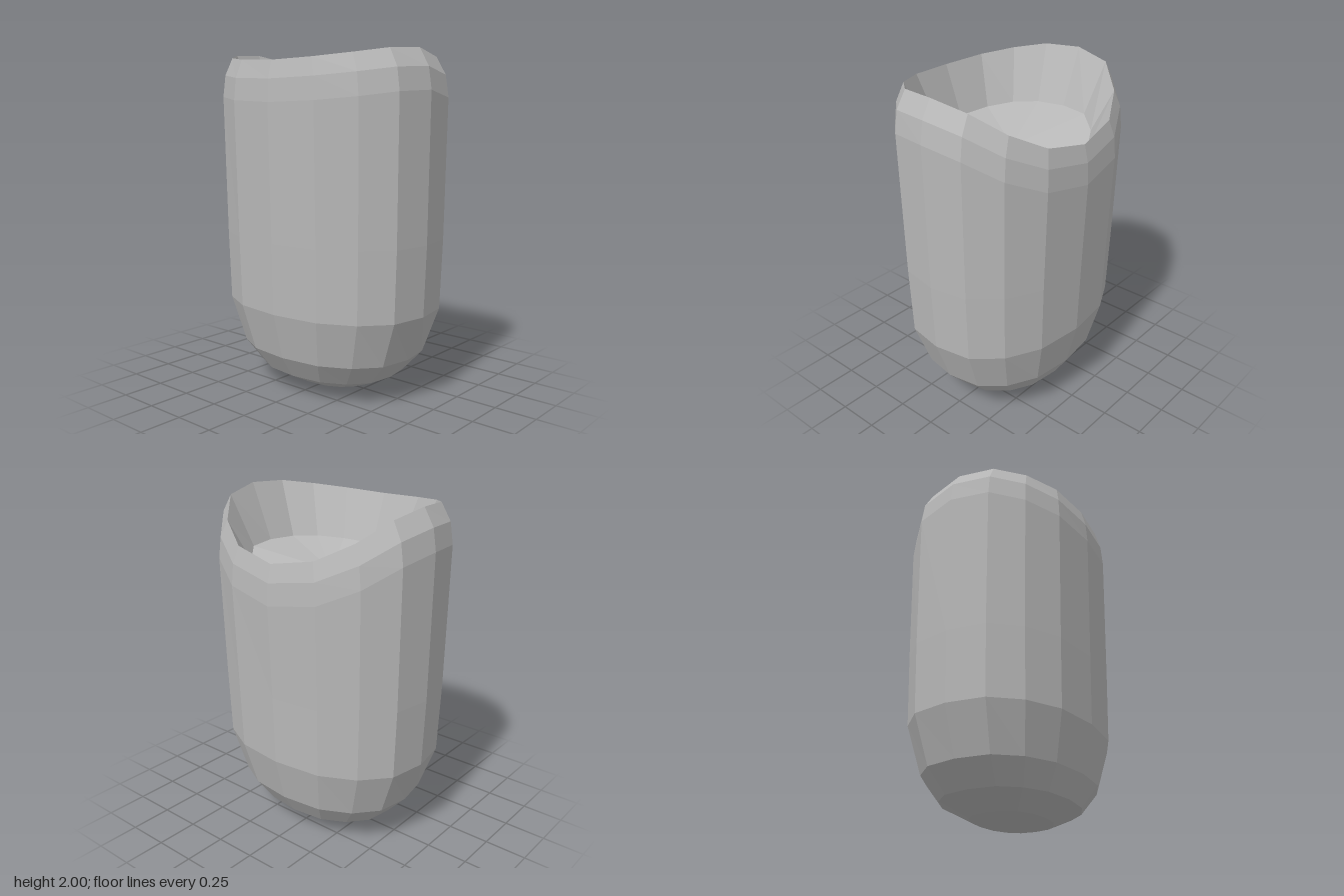
import * as THREE from 'three';

const SIDES = 16;
// Unit cross-section and heights, stepped from the back (0) round to the front (8)
const UNIT_X = [0, 0.435, 0.74, 0.942, 1, 0.942, 0.74, 0.435, 0];
const UNIT_Z = [-1, -0.935, -0.735, -0.435, 0, 0.435, 0.735, 0.935, 1];
const RIM = [1.70, 1.75, 1.85, 1.96, 2.0, 1.99, 1.965, 1.945, 1.935];
const FLOOR = [1.54, 1.56, 1.62, 1.665, 1.67, 1.665, 1.66, 1.65, 1.645];

// One closed ring; height(k) gives y at step k, mirrored left to right
function ring(rx, rz, height) {
  return Array.from({ length: SIDES }, (_, i) => {
    const k = i <= 8 ? i : SIDES - i;
    const side = i <= 8 ? 1 : -1;
    return [side * UNIT_X[k] * rx, height(k), UNIT_Z[k] * rz];
  });
}

const level = (rx, rz, y) => ring(rx, rz, () => y);
const point = (y) => level(0, 0, y);

// Skin a list of rings ordered along the surface, skipping collapsed triangles
function skin(name, rings, material) {
  const positions = [];
  const same = (a, b) => a.every((v, i) => Math.abs(v - b[i]) < 1e-6);
  const tri = (a, b, c) => {
    if (!same(a, b) && !same(b, c) && !same(a, c)) positions.push(...a, ...b, ...c);
  };
  for (let r = 0; r < rings.length - 1; r++) {
    for (let i = 0; i < SIDES; i++) {
      const j = (i + 1) % SIDES;
      const a = rings[r][i], b = rings[r][j];
      const c = rings[r + 1][j], d = rings[r + 1][i];
      tri(a, d, c);
      tri(a, c, b);
    }
  }
  const geometry = new THREE.BufferGeometry();
  geometry.setAttribute('position', new THREE.Float32BufferAttribute(positions, 3));
  geometry.computeVertexNormals();
  const mesh = new THREE.Mesh(geometry, material);
  mesh.name = name;
  return mesh;
}

export function createModel() {
  const group = new THREE.Group();
  group.name = 'scoopedCup';
  const grey = new THREE.MeshStandardMaterial({ color: 0xb8b8b8, side: THREE.DoubleSide });
  grey.name = 'plainGrey';

  const rim = ring(0.615, 0.505, (k) => RIM[k]);
  const floorEdge = ring(0.48, 0.40, (k) => FLOOR[k]);

  // Rounded base and tall wall, bevelled in towards the curved rim
  group.add(skin('outerShell', [
    point(0),
    level(0.27, 0.21, 0.04),
    level(0.45, 0.36, 0.12),
    level(0.57, 0.445, 0.25),
    level(0.67, 0.51, 0.52),
    level(0.685, 0.52, 0.93),
    ring(0.695, 0.538, (k) => RIM[k] - 0.225),
    ring(0.675, 0.53, (k) => RIM[k] - 0.10),
    rim,
  ], grey));

  // Sloping wall inside the rim
  group.add(skin('innerWall', [rim, floorEdge], grey));

  // Shallow dished floor
  group.add(skin('dishedFloor', [floorEdge, point(1.56)], grey));

  return group;
}
